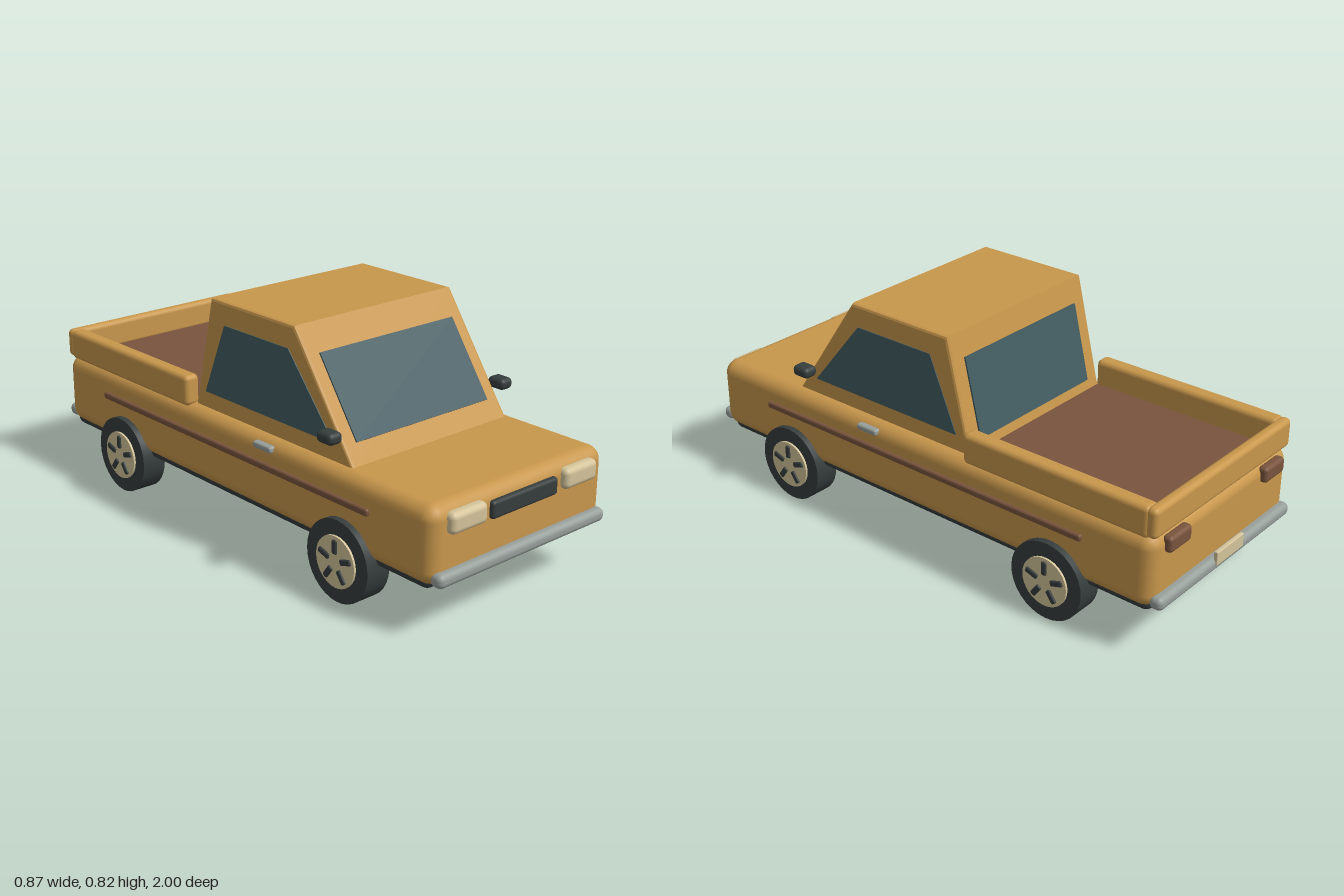
import * as THREE from 'three';
import { RoundedBoxGeometry } from 'three/addons/geometries/RoundedBoxGeometry.js';

const material = (name, color) => {
  const m = new THREE.MeshStandardMaterial({ color });
  m.name = name;
  return m;
};

export function createModel() {
  const paint = material('ochre paint', 0xc8974c);
  const glass = material('tinted glass', 0x435c61);
  const dark = material('dark rubber', 0x363d3d);
  const brown = material('brown trim', 0x79543d);
  const cream = material('cream', 0xd4c49b);
  const chrome = material('chrome', 0x979f9b);

  const truck = new THREE.Group();
  truck.name = 'pickupTruck';

  const add = (name, geometry, mat, parent = truck) => {
    const mesh = new THREE.Mesh(geometry, mat);
    mesh.name = name;
    parent.add(mesh);
    return mesh;
  };
  // Rounded block given by its limits on each axis
  const block = (name, mat, [x0, x1], [y0, y1], [z0, z1], radius) => {
    const mesh = add(name, new RoundedBoxGeometry(x1 - x0, y1 - y0, z1 - z0, 3, radius), mat);
    mesh.position.set((x0 + x1) / 2, (y0 + y1) / 2, (z0 + z1) / 2);
    return mesh;
  };
  // Side profile of [z, y] points, extruded across x and centred
  const profile = (points, width, bevel) => {
    const shape = new THREE.Shape(points.map(([z, y]) => new THREE.Vector2(z, y)));
    const depth = width - 2 * bevel;
    return new THREE.ExtrudeGeometry(shape, {
      depth, bevelEnabled: bevel > 0, bevelSize: bevel, bevelThickness: bevel,
      bevelOffset: -bevel, bevelSegments: 2,
    }).translate(0, 0, -depth / 2).rotateY(-Math.PI / 2);
  };

  // Lower body and chassis
  block('body', paint, [-0.397, 0.397], [0.17, 0.43], [-0.965, 0.972], 0.05);
  block('chassis', dark, [-0.38, 0.38], [0.153, 0.25], [-0.95, 0.945], 0.03);

  // Cabin
  const cabin = [[0.592, 0.42], [0.31, 0.825], [-0.115, 0.825], [-0.212, 0.42]];
  add('cabin', profile(cabin, 0.7, 0.01), paint);

  // Windscreen and rear window: thin plates lying on the slopes
  const slopedWindow = (name, width, [z0, y0], [z1, y1]) => {
    const mesh = add(name, new THREE.BoxGeometry(width, Math.hypot(z1 - z0, y1 - y0), 0.009), glass);
    mesh.position.set(0, (y0 + y1) / 2, (z0 + z1) / 2);
    mesh.rotation.x = Math.atan2(z1 - z0, y1 - y0);
  };
  slopedWindow('windscreen', 0.595, [0.544, 0.49], [0.37, 0.74]);
  slopedWindow('rearWindow', 0.58, [-0.203, 0.465], [-0.137, 0.74]);

  // Load bed
  const floor = add('bedFloor', new THREE.BoxGeometry(0.68, 0.012, 0.72), brown);
  floor.position.set(0, 0.432, -0.58);
  block('tailgate', paint, [-0.39, 0.39], [0.425, 0.53], [-0.967, -0.925], 0.018);

  // Front and rear fittings
  block('frontBumper', chrome, [-0.382, 0.382], [0.177, 0.224], [0.95, 1], 0.02);
  block('rearBumper', chrome, [-0.382, 0.382], [0.177, 0.224], [-0.995, -0.945], 0.02);
  block('grille', dark, [-0.15, 0.15], [0.332, 0.392], [0.955, 0.988], 0.012);
  block('numberPlate', cream, [-0.078, 0.078], [0.2, 0.25], [-1, -0.985], 0.004);

  // Parts repeated on both sides
  const sideGlass = profile([[0.5, 0.487], [0.283, 0.745], [-0.042, 0.745], [-0.152, 0.487]], 0.006, 0);
  for (const s of [1, -1]) {
    const side = s > 0 ? 'left' : 'right';
    const pair = (name, mat, [x0, x1], y, z, r) =>
      block(side + name, mat, s > 0 ? [x0, x1] : [-x1, -x0], y, z, r);

    add(side + 'SideWindow', sideGlass, glass).position.x = s * 0.35;
    pair('BedRail', paint, [0.332, 0.392], [0.42, 0.53], [-0.94, -0.212], 0.018);
    pair('Headlight', cream, [0.177, 0.332], [0.336, 0.407], [0.95, 0.997], 0.02);
    pair('TailLight', brown, [0.215, 0.332], [0.36, 0.417], [-0.987, -0.95], 0.014);
    pair('SideTrim', brown, [0.385, 0.409], [0.325, 0.35], [-0.705, 0.71], 0.008);
    pair('DoorHandle', chrome, [0.38, 0.408], [0.391, 0.414], [0.165, 0.255], 0.008);
    pair('Mirror', dark, [0.36, 0.417], [0.506, 0.546], [0.484, 0.556], 0.017);
  }

  // Wheels, built facing +x with the axle on x
  const tyre = new THREE.CylinderGeometry(0.14, 0.14, 0.092, 32).rotateZ(-Math.PI / 2);
  const rim = new THREE.CylinderGeometry(0.088, 0.088, 0.02, 32).rotateZ(-Math.PI / 2);
  const slot = new RoundedBoxGeometry(0.014, 0.048, 0.02, 2, 0.005);
  for (const s of [1, -1]) {
    for (const z of [0.592, -0.585]) {
      const wheel = new THREE.Group();
      wheel.name = (z > 0 ? 'front' : 'rear') + (s > 0 ? 'Left' : 'Right') + 'Wheel';
      add('tyre', tyre, dark, wheel);
      add('rim', rim, cream, wheel).position.x = 0.044;
      for (let i = 0; i < 5; i++) {
        const a = (i / 5) * Math.PI * 2;
        const mesh = add('rimSlot', slot, dark, wheel);
        mesh.position.set(0.054, Math.cos(a) * 0.052, Math.sin(a) * 0.052);
        mesh.rotation.x = a;
      }
      wheel.position.set(s * 0.374, 0.14, z);
      if (s < 0) wheel.rotation.y = Math.PI;
      truck.add(wheel);
    }
  }

  return truck;
}
